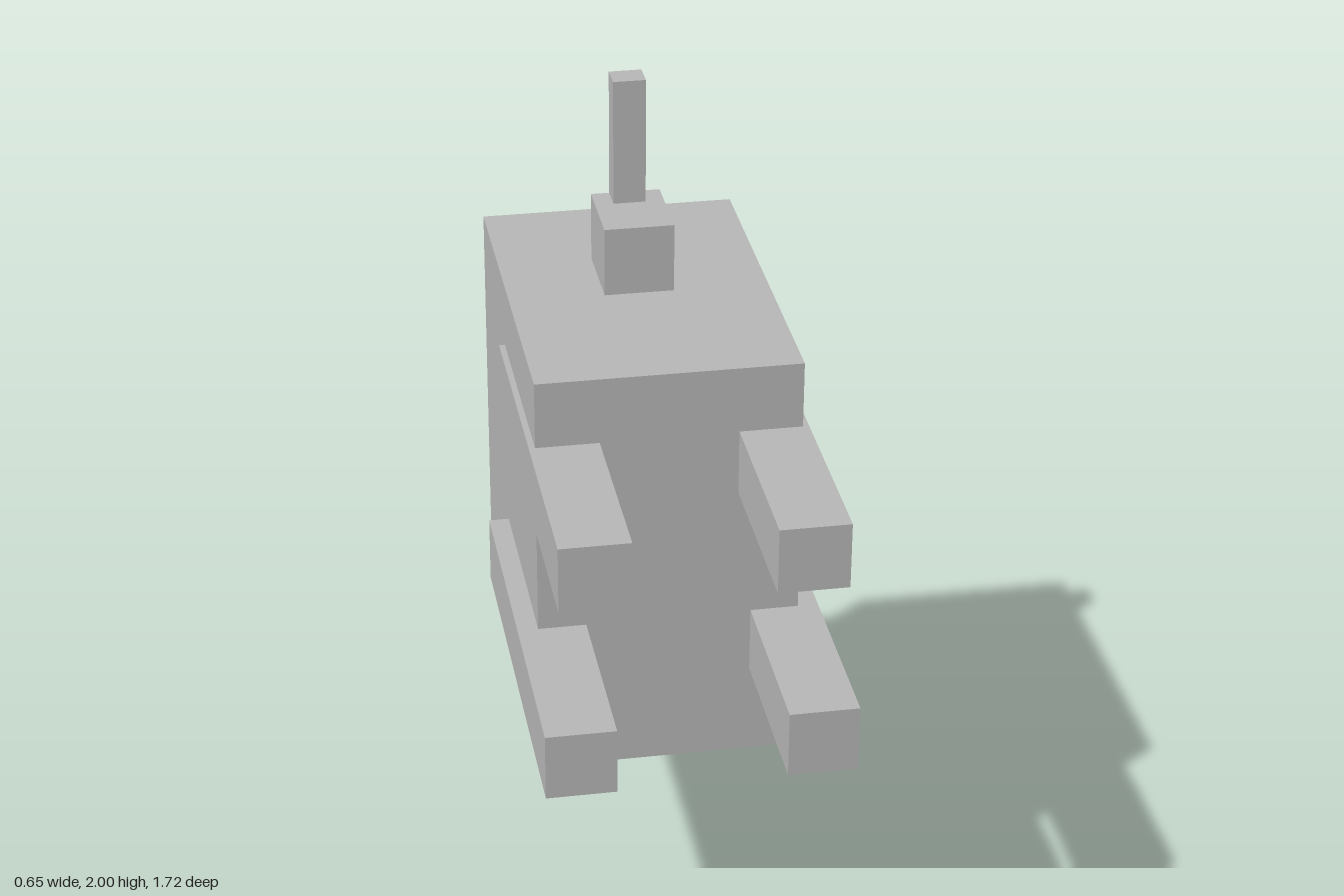
import * as THREE from 'three';

export function createModel() {
  const group = new THREE.Group();
  const grey = new THREE.MeshStandardMaterial({ color: 0xb8b8b8 });
  grey.name = 'plainGrey';

  // Box given by its low and high limits on each axis
  const block = (name, [x0, x1], [y0, y1], [z0, z1]) => {
    const mesh = new THREE.Mesh(new THREE.BoxGeometry(x1 - x0, y1 - y0, z1 - z0), grey);
    mesh.position.set((x0 + x1) / 2, (y0 + y1) / 2, (z0 + z1) / 2);
    mesh.name = name;
    group.add(mesh);
  };
  const centred = (name, halfWidth, y, z) => block(name, [-halfWidth, halfWidth], y, z);

  // Trunk and tail
  centred('body', 0.28, [0.63, 1.567], [-0.357, 0.453]);
  centred('tailBase', 0.075, [1.5, 1.72], [-0.107, 0.077]);
  centred('tail', 0.035, [1.6, 2], [-0.108, -0.05]);

  // Neck and head
  centred('neckBase', 0.158, [0.567, 0.88], [-0.607, -0.05]);
  centred('neck', 0.127, [0.397, 0.672], [-0.732, -0.297]);
  centred('throat', 0.075, [0.38, 0.52], [-0.62, -0.485]);
  centred('head', 0.136, [0, 0.567], [-0.86, -0.547]);

  // Mirrored legs and eyes
  for (const [side, s] of [['left', 1], ['right', -1]]) {
    const span = (a, b) => (s > 0 ? [a, b] : [-b, -a]);
    block(side + 'HindLeg', span(0.146, 0.293), [1.275, 1.42], [-0.014, 0.86]);
    block(side + 'FrontLeg', span(0.177, 0.324), [0.835, 0.983], [-0.014, 0.86]);
    block(side + 'Eye', span(0.11, 0.162), [0.166, 0.215], [-0.759, -0.711]);
  }
  return group;
}
